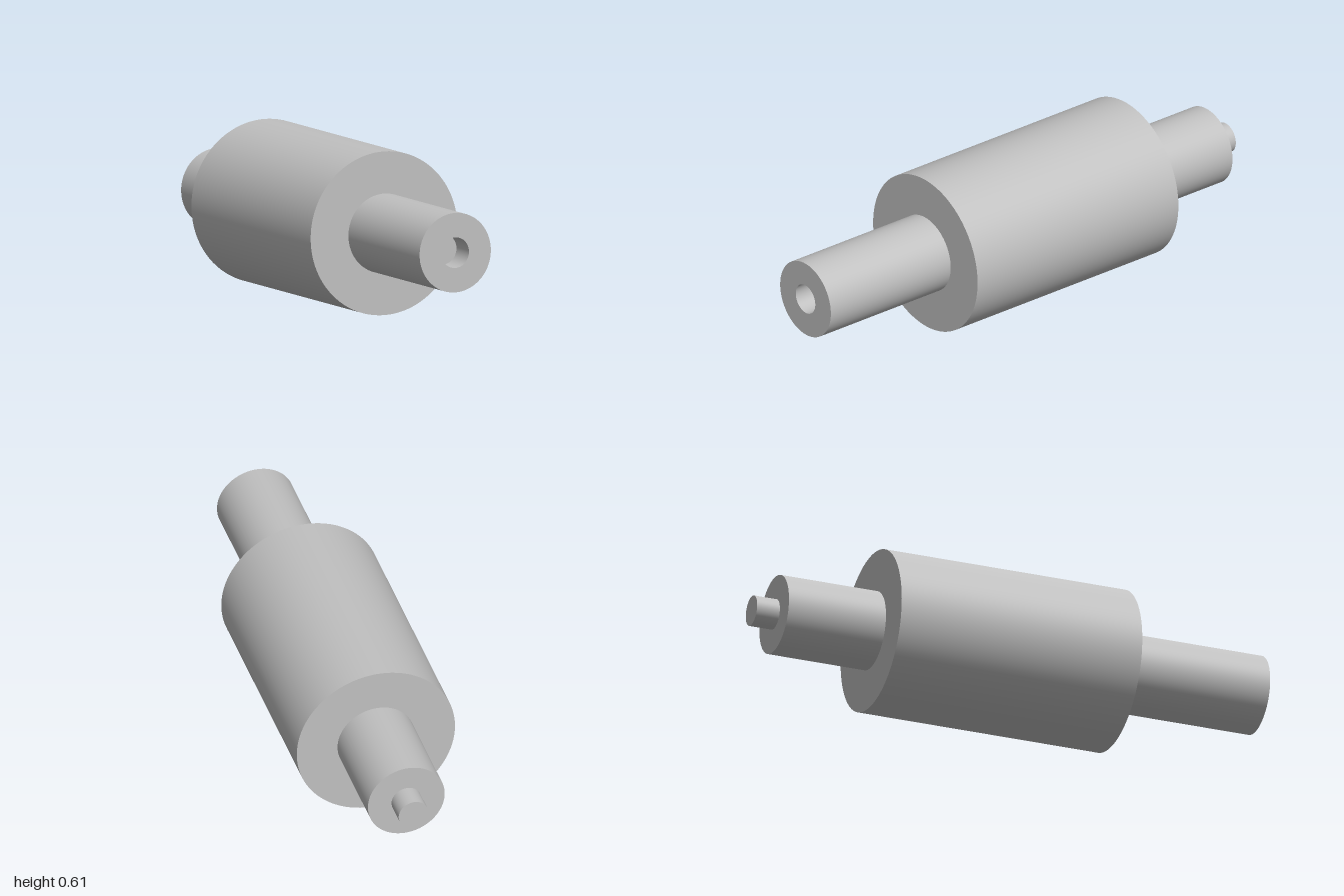
import * as THREE from 'three';
import { mergeGeometries } from 'three/addons/utils/BufferGeometryUtils.js';

const BODY_R = 0.305, SHAFT_R = 0.148, PIN_R = 0.057;

// Revolve a [radius, z] profile around the z axis, keeping every corner sharp
function turned(name, profile, material) {
  const bands = [];
  for (let i = 0; i < profile.length - 1; i++) {
    const pts = [profile[i], profile[i + 1]].map(([r, z]) => new THREE.Vector2(r, z));
    bands.push(new THREE.LatheGeometry(pts, 96));
  }
  const geometry = mergeGeometries(bands);
  geometry.rotateX(Math.PI / 2);
  const mesh = new THREE.Mesh(geometry, material);
  mesh.name = name;
  mesh.position.y = BODY_R;
  return mesh;
}

export function createModel() {
  const steel = new THREE.MeshStandardMaterial({ color: 0xc0c0c0 });
  steel.name = 'steel grey';

  const group = new THREE.Group();
  group.name = 'roller';
  group.add(
    // Small locating pin at the back
    turned('rearPin', [[0, -1], [PIN_R, -1], [PIN_R, -0.91]], steel),
    // Rear shaft with its annular end face
    turned('rearShaft', [[PIN_R, -0.91], [SHAFT_R, -0.91], [SHAFT_R, -0.525]], steel),
    // Wide drum with two shoulders
    turned('drum', [[SHAFT_R, -0.525], [BODY_R, -0.525], [BODY_R, 0.43], [SHAFT_R, 0.43]], steel),
    // Front shaft with its annular end face
    turned('frontShaft', [[SHAFT_R, 0.43], [SHAFT_R, 1], [PIN_R, 1]], steel),
    // Blind hole in the front end
    turned('frontSocket', [[PIN_R, 1], [PIN_R, 0.9], [0, 0.9]], steel),
  );
  return group;
}
